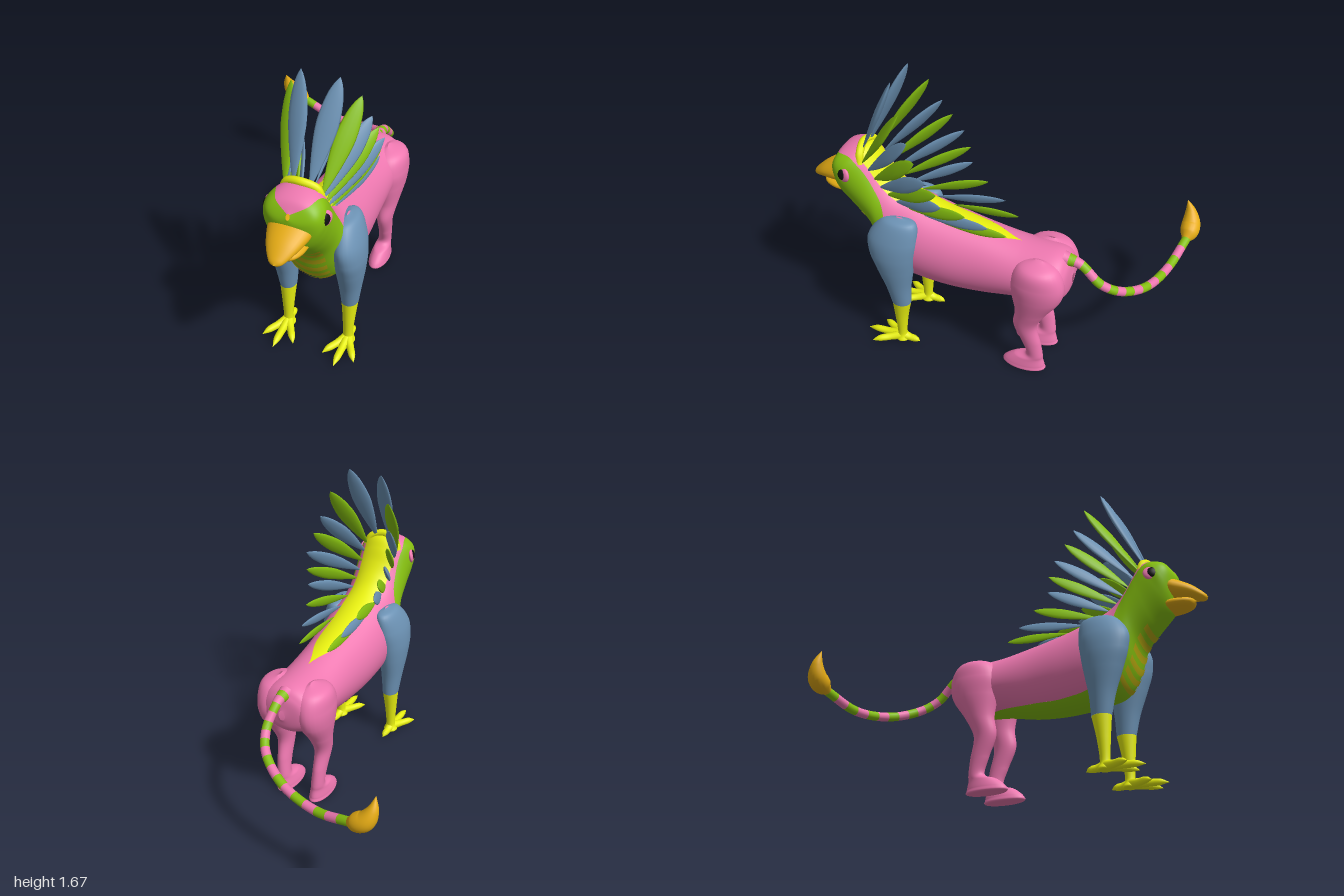
import * as THREE from 'three';

const mats = Object.fromEntries(Object.entries({
  pink: 0xee78b0, green: 0x86c010, yellow: 0xe8f010, blue: 0x6c92b4,
  gold: 0xe6ac14, stripe: 0xb8aa10, black: 0x101010,
}).map(([k, color]) => [k, new THREE.MeshStandardMaterial({ color, side: THREE.DoubleSide })]));

const V = (x, y, z) => new THREE.Vector3(x, y, z);
const FULL = Math.PI * 2;
const clamp = THREE.MathUtils.clamp;

// Smooth patch of P(u, angle), between two angle limits that may vary with u
function patch(name, mat, P, u0, u1, nu, nt, lo = () => 0, hi = () => FULL) {
  const pos = [], nor = [], idx = [], e = 1e-3;
  for (let i = 0; i <= nu; i++) {
    const u = u0 + (u1 - u0) * i / nu;
    for (let j = 0; j <= nt; j++) {
      const t = lo(u) + (hi(u) - lo(u)) * j / nt;
      const du = P(u + e, t).sub(P(u - e, t)), dt = P(u, t + e).sub(P(u, t - e));
      pos.push(...P(u, t).toArray());
      nor.push(...du.cross(dt).normalize().toArray());
      if (i < nu && j < nt) {
        const a = i * (nt + 1) + j, b = a + nt + 1;
        idx.push(a, b, a + 1, b, b + 1, a + 1);
      }
    }
  }
  const g = new THREE.BufferGeometry();
  g.setAttribute('position', new THREE.Float32BufferAttribute(pos, 3));
  g.setAttribute('normal', new THREE.Float32BufferAttribute(nor, 3));
  g.setIndex(idx);
  const m = new THREE.Mesh(g, mats[mat]);
  m.name = name;
  return m;
}

// Smooth value through per-station points; u counts stations
function spline(points) {
  const c = new THREE.CatmullRomCurve3(points, false, 'catmullrom', 0.5), n = points.length - 1;
  return u => c.getPoint(clamp(u / n, 0, 1));
}

// Elliptic sections from [z1, y1, z2, y2, halfWidth], shifted sideways by cx
function sections(st, cx = () => 0) {
  const a = spline(st.map(s => V(s[4], s[1], s[0])));
  const b = spline(st.map(s => V(0, s[3], s[2])));
  return (u, t) => {
    const p = a(u), q = b(u), c = Math.cos(t);
    return V(cx(u) + Math.max(p.x, 0.002) * Math.sin(t),
      (p.y + q.y) / 2 + (p.y - q.y) / 2 * c, (p.z + q.z) / 2 + (p.z - q.z) / 2 * c);
  };
}

// Leg from [y, cx, cz, rx, rz], top to bottom
function legSurface(st, side) {
  const c = spline(st.map(s => V(s[1], 0, 0)));
  return sections(st.map(([y, , cz, rx, rz]) => [cz + rz, y, cz - rz, y, rx]), u => side * c(u).x);
}

// Tapered tube along points with a radius at each
function tubeSurface(points, radii) {
  const c = spline(points), r = spline(radii.map(x => V(x, 0, 0))), n = points.length - 1;
  return (u, t) => {
    const T = c(Math.min(u + 0.01, n)).sub(c(Math.max(u - 0.01, 0))).normalize();
    const N = V(0.1, 0.15, 1).cross(T).normalize(), B = T.clone().cross(N);
    const k = Math.max(r(u).x, 0.001);
    return c(u).addScaledVector(N, k * Math.cos(t)).addScaledVector(B, -k * Math.sin(t));
  };
}

function ellipsoid(name, mat, p, dir, rx, ry, rz) {
  const m = new THREE.Mesh(new THREE.SphereGeometry(1, 24, 16), mats[mat]);
  m.name = name;
  m.scale.set(rx, ry, rz);
  m.position.copy(p);
  m.quaternion.setFromUnitVectors(V(0, 0, 1), dir.clone().normalize());
  return m;
}

// Feather blade from base to tip, its flat face turned towards "face"
function feather(mat, base, tip, face, width) {
  const prof = [[0.12, 0], [0.4, 0.12], [0.8, 0.35], [1, 0.58], [0.78, 0.8], [0.4, 0.93], [0, 1]];
  const curve = new THREE.SplineCurve(prof.map(p => new THREE.Vector2(...p)));
  const g = new THREE.LatheGeometry(curve.getPoints(18).map(p => p.set(Math.max(p.x, 0), p.y)), 12);
  const Y = tip.clone().sub(base), len = Y.length();
  Y.normalize();
  const X = Y.clone().cross(face).normalize(), Z = X.clone().cross(Y);
  g.scale(width, len, width * 0.32);
  g.applyMatrix4(new THREE.Matrix4().makeBasis(X, Y, Z).setPosition(base));
  const m = new THREE.Mesh(g, mats[mat]);
  m.name = 'maneFeather';
  return m;
}

export function createModel() {
  const root = new THREE.Group(), model = new THREE.Group();
  model.name = 'creature';
  model.position.x = 0.267;
  root.add(model);
  const add = (...m) => model.add(...m);

  // Body, neck and head: back point, belly point, half width, mane and flank limits in degrees
  const body = [
    [-0.488, 0.66, -0.488, 0.60, 0.02, 0, 180], [-0.465, 0.74, -0.465, 0.53, 0.13, 0, 180],
    [-0.40, 0.785, -0.38, 0.48, 0.175, 0, 180], [-0.20, 0.795, -0.20, 0.46, 0.175, 0, 155],
    [0, 0.83, 0, 0.42, 0.18, 22, 142], [0.20, 0.87, 0.20, 0.41, 0.195, 24, 142],
    [0.34, 0.91, 0.40, 0.43, 0.20, 26, 135], [0.45, 0.955, 0.51, 0.46, 0.185, 30, 95],
    [0.52, 1.01, 0.58, 0.56, 0.17, 34, 58], [0.57, 1.07, 0.63, 0.70, 0.16, 37, 52],
    [0.61, 1.14, 0.72, 0.80, 0.158, 38, 50], [0.65, 1.19, 0.805, 0.89, 0.16, 38, 50],
    [0.71, 1.195, 0.835, 0.97, 0.155, 34, 44], [0.785, 1.17, 0.845, 1.05, 0.115, 30, 44],
    [0.83, 1.12, 0.845, 1.09, 0.01, 30, 44],
  ];
  const P = sections(body), last = body.length - 1;
  const limits = spline(body.map(s => V(s[5], s[6], 0))), rad = Math.PI / 180;
  const mane = u => Math.max(limits(u).x, 0) * rad;
  const flank = u => Math.min(limits(u).y, 180) * rad;
  const crestU = 11.5;
  add(patch('maneStrip', 'yellow', P, 3, crestU, 70, 12, u => -mane(u), mane));
  add(patch('flankLeft', 'pink', P, 0, crestU, 100, 22, mane, flank));
  add(patch('flankRight', 'pink', P, 0, crestU, 100, 22, u => -flank(u), u => -mane(u)));
  add(patch('forehead', 'pink', P, crestU, last, 30, 16, u => -flank(u), flank));
  add(patch('throatAndBelly', 'green', P, 2, last, 110, 36, flank, u => FULL - flank(u)));

  // Yellow rim above the forehead
  const rim = [V(-0.1, 1.125, 0.665), V(-0.075, 1.18, 0.672), V(0, 1.205, 0.685),
    V(0.075, 1.18, 0.672), V(0.1, 1.125, 0.665)];
  add(new THREE.Mesh(new THREE.TubeGeometry(new THREE.CatmullRomCurve3(rim), 30, 0.021, 10), mats.yellow));
  model.children.at(-1).name = 'crestRim';

  // Chest stripes
  const chest = (u, t) => P(u, t).add(V(0, -0.002, 0.005));
  for (let i = 0; i < 6; i++) {
    const u = 7.15 + i * 0.46;
    add(patch('chestStripe', 'stripe', chest, u, u + 0.25, 5, 14, () => 142 * rad, () => 218 * rad));
  }

  // Beak
  add(patch('upperBeak', 'gold', sections([
    [0.79, 1.085, 0.79, 0.955, 0.115], [0.84, 1.065, 0.84, 0.945, 0.107],
    [0.92, 1.02, 0.92, 0.937, 0.076], [0.98, 0.968, 0.98, 0.925, 0.037], [1, 0.942, 1, 0.938, 0.002],
  ]), 0, 4, 24, 28));
  add(patch('lowerBeak', 'gold', sections([
    [0.77, 0.95, 0.77, 0.885, 0.09], [0.85, 0.95, 0.85, 0.888, 0.083],
    [0.91, 0.945, 0.91, 0.9, 0.054], [0.935, 0.93, 0.935, 0.925, 0.002],
  ]), 0, 3, 18, 24));

  // Feather tips, paired left and right along the mane
  const tips = [[0.098, 1.668, 0.45], [0.18, 1.545, 0.378], [0.217, 1.41, 0.325], [0.237, 1.32, 0.28],
    [0.25, 1.225, 0.22], [0.225, 1.145, 0.175], [0.21, 1.06, 0.16], [0.16, 0.995, 0.05],
    [0.125, 0.925, -0.06], [0.088, 0.87, -0.15]];

  for (const s of [1, -1]) {
    tips.forEach(([x, y, z], i) => {
      const k = i / (tips.length - 1), u = 11.3 - 6.2 * k;
      const base = P(u, s * (i ? mane(u) : 0.28));
      const face = V(s * (0.25 + k), 0.25, 1 - 0.85 * k);
      add(feather(i % 2 ? 'green' : 'blue', base, V(s * x, y, z), face, 0.054 - 0.026 * k));
    });

    // Eye
    const look = V(s * 0.88, 0.15, 0.5).normalize(), eye = V(s * 0.141, 1.072, 0.748);
    add(ellipsoid('eyePatch', 'pink', eye, look, 0.055, 0.045, 0.018));
    add(ellipsoid('eye', 'black', eye.clone().addScaledVector(look, 0.009), look, 0.034, 0.034, 0.016));

    // Front leg
    add(patch('frontLeg', 'blue', legSurface([
      [0.875, 0.15, 0.43, 0.005, 0.02], [0.85, 0.155, 0.435, 0.055, 0.10], [0.75, 0.175, 0.465, 0.077, 0.14],
      [0.65, 0.185, 0.47, 0.08, 0.132], [0.55, 0.184, 0.462, 0.075, 0.108],
      [0.42, 0.18, 0.45, 0.06, 0.073], [0.30, 0.177, 0.44, 0.046, 0.055],
    ], s), 0, 6, 48, 28));
    add(patch('frontShank', 'yellow', legSurface([
      [0.30, 0.177, 0.44, 0.045, 0.054], [0.18, 0.176, 0.447, 0.034, 0.037],
      [0.06, 0.175, 0.45, 0.027, 0.027], [0.015, 0.175, 0.45, 0.04, 0.04], [0.005, 0.175, 0.45, 0.002, 0.002],
    ], s), 0, 4, 24, 20));
    for (const [dx, dz] of [[0, 0.215], [0.09, 0.15], [-0.09, 0.15], [0, -0.105]]) {
      const at = (f, y) => V(s * (0.175 + dx * f), y, 0.45 + dz * f);
      add(patch('toe', 'yellow', tubeSurface([at(0, 0.035), at(0.4, 0.027), at(0.75, 0.024), at(1, 0.015)],
        [0.03, 0.021, 0.018, 0.001]), 0, 3, 14, 12));
    }

    // Hind leg and paw
    add(patch('hindLeg', 'pink', legSurface([
      [0.78, 0.10, -0.33, 0.005, 0.02], [0.74, 0.11, -0.33, 0.085, 0.11], [0.65, 0.122, -0.328, 0.092, 0.15],
      [0.55, 0.125, -0.327, 0.083, 0.135], [0.43, 0.125, -0.298, 0.06, 0.085],
      [0.32, 0.12, -0.268, 0.045, 0.066], [0.20, 0.115, -0.303, 0.037, 0.054], [0.11, 0.11, -0.322, 0.037, 0.047],
      [0.075, 0.107, -0.285, 0.045, 0.085], [0.03, 0.105, -0.263, 0.054, 0.117],
      [0.004, 0.105, -0.263, 0.052, 0.113], [0, 0.105, -0.263, 0.002, 0.002],
    ], s), 0, 11, 88, 28));
  }

  // Striped tail with a tuft
  const tail = tubeSurface([V(0, 0.75, -0.43), V(0, 0.73, -0.53), V(0, 0.63, -0.64), V(-0.07, 0.555, -0.745),
    V(-0.23, 0.49, -0.84), V(-0.45, 0.463, -0.9), V(-0.67, 0.515, -0.945)],
  [0.04, 0.026, 0.025, 0.025, 0.025, 0.025, 0.025]);
  const bands = 18;
  for (let i = 0; i < bands; i++)
    add(patch('tailBand', i % 2 ? 'green' : 'pink', tail, 6 * i / bands, 6 * (i + 1) / bands, 5, 16));
  add(patch('tailTuft', 'gold', tubeSurface([V(-0.655, 0.51, -0.94), V(-0.70, 0.53, -0.947), V(-0.75, 0.56, -0.945),
    V(-0.78, 0.62, -0.93), V(-0.785, 0.69, -0.905)], [0.022, 0.05, 0.052, 0.032, 0.001]), 0, 4, 28, 20));
  return root;
}
